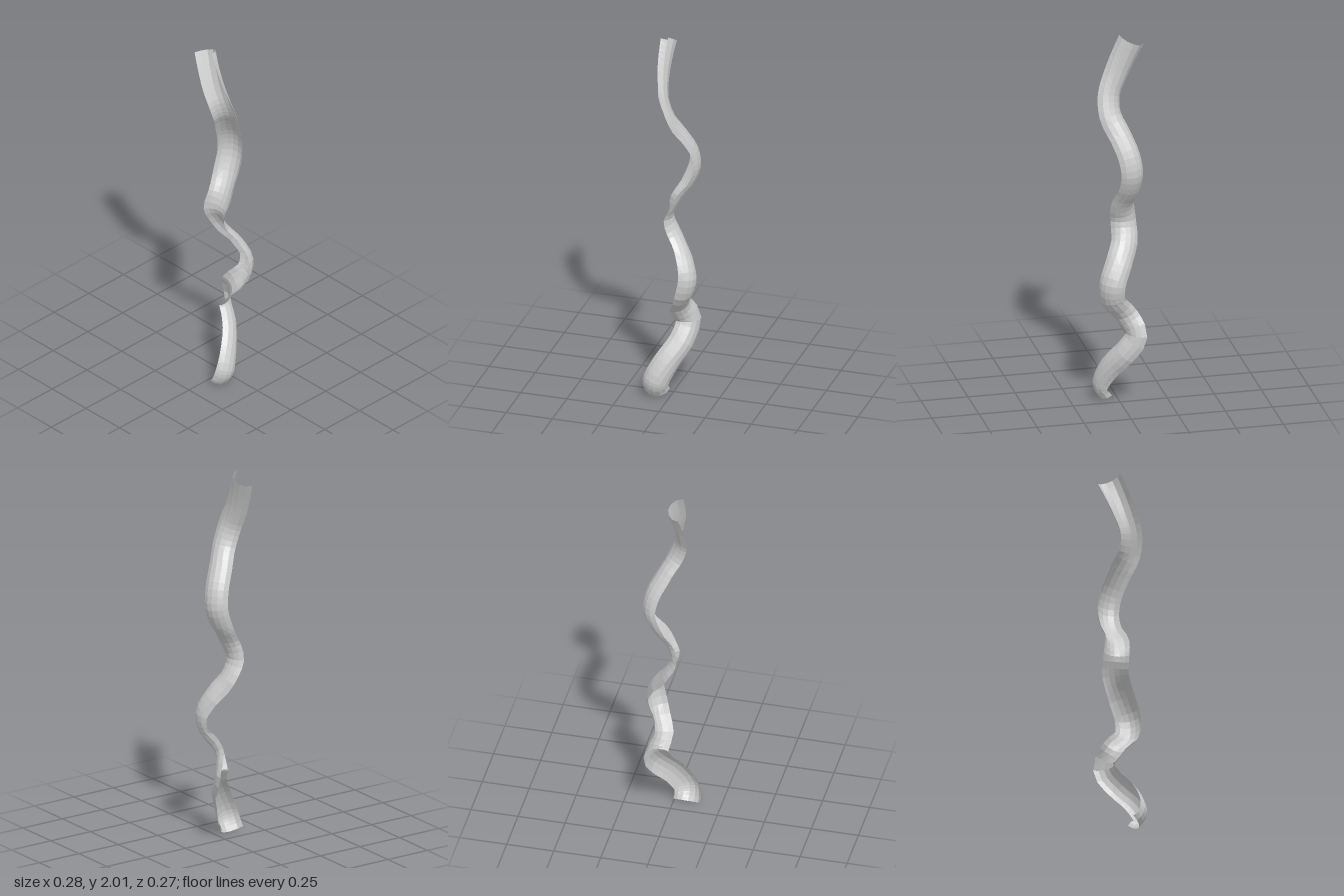
import * as THREE from 'three';

// Spine stations: height, x, z, facing angle of the convex side (degrees from +x to +z), curl depth
const STATIONS = [
  [1.988, -0.04, -0.075, 0, 0.068],
  [1.9, -0.05, -0.038, -6, 0.062],
  [1.8, -0.053, 0.002, -14, 0.056],
  [1.7, -0.04, 0.038, -22, 0.05],
  [1.6, -0.005, 0.038, -26, 0.05],
  [1.5, 0.048, -0.005, -28, 0.05],
  [1.4, 0.095, -0.04, -27, 0.05],
  [1.3, 0.107, -0.053, -25, 0.048],
  [1.2, 0.07, -0.045, -22, 0.045],
  [1.1, 0.006, -0.02, -15, 0.04],
  [1.0, -0.028, -0.028, -5, 0.037],
  [0.9, 0.015, -0.022, 8, 0.04],
  [0.8, 0.08, 0.028, 18, 0.043],
  [0.7, 0.111, 0.07, 24, 0.045],
  [0.6, 0.09, 0.065, 28, 0.045],
  [0.5, 0.045, -0.012, 36, 0.045],
  [0.4, 0.072, -0.058, 54, 0.047],
  [0.3, 0.05, 0.003, 66, 0.05],
  [0.2, -0.015, 0.07, 74, 0.05],
  [0.1, -0.068, 0.102, 84, 0.052],
  [0.06, -0.076, 0.092, 87, 0.054],
  [0.024, -0.075, 0.064, 90, 0.055],
];
const CHORD = 0.138, ACROSS = 6, ALONG = 63;

export function createModel() {
  const group = new THREE.Group();
  const spine = new THREE.CatmullRomCurve3(STATIONS.map(([y, x, z]) => new THREE.Vector3(x, y, z)));
  const turn = new THREE.CatmullRomCurve3(
    STATIONS.map(([, , , a, d]) => new THREE.Vector3(THREE.MathUtils.degToRad(a), d, 0)));

  // Curled strip: a circular arc swept down the spine, turning as it goes
  const positions = [], index = [];
  for (let i = 0; i <= ALONG; i++) {
    const t = i / ALONG;
    const centre = spine.getPoint(t), tangent = spine.getTangent(t);
    const { x: angle, y: depth } = turn.getPoint(t);
    const out = new THREE.Vector3(Math.cos(angle), 0, Math.sin(angle));
    out.addScaledVector(tangent, -out.dot(tangent)).normalize();
    const side = new THREE.Vector3().crossVectors(tangent, out);
    const half = 2 * Math.atan(2 * depth / CHORD);
    const radius = CHORD / (2 * Math.sin(half));
    for (let j = 0; j <= ACROSS; j++) {
      const a = half * (2 * j / ACROSS - 1);
      const p = centre.clone()
        .addScaledVector(out, depth / 2 - radius * (1 - Math.cos(a)))
        .addScaledVector(side, radius * Math.sin(a));
      positions.push(p.x, p.y, p.z);
      if (i < ALONG && j < ACROSS) {
        const k = i * (ACROSS + 1) + j, n = k + ACROSS + 1;
        index.push(k, k + 1, n, k + 1, n + 1, n);
      }
    }
  }
  const geometry = new THREE.BufferGeometry();
  geometry.setAttribute('position', new THREE.Float32BufferAttribute(positions, 3));
  geometry.setIndex(index);
  geometry.computeVertexNormals();

  const strip = new THREE.Mesh(geometry, new THREE.MeshStandardMaterial({
    color: 0xcccccc, flatShading: true, side: THREE.DoubleSide,
  }));
  strip.name = 'curledStrip';
  group.add(strip);
  return group;
}
